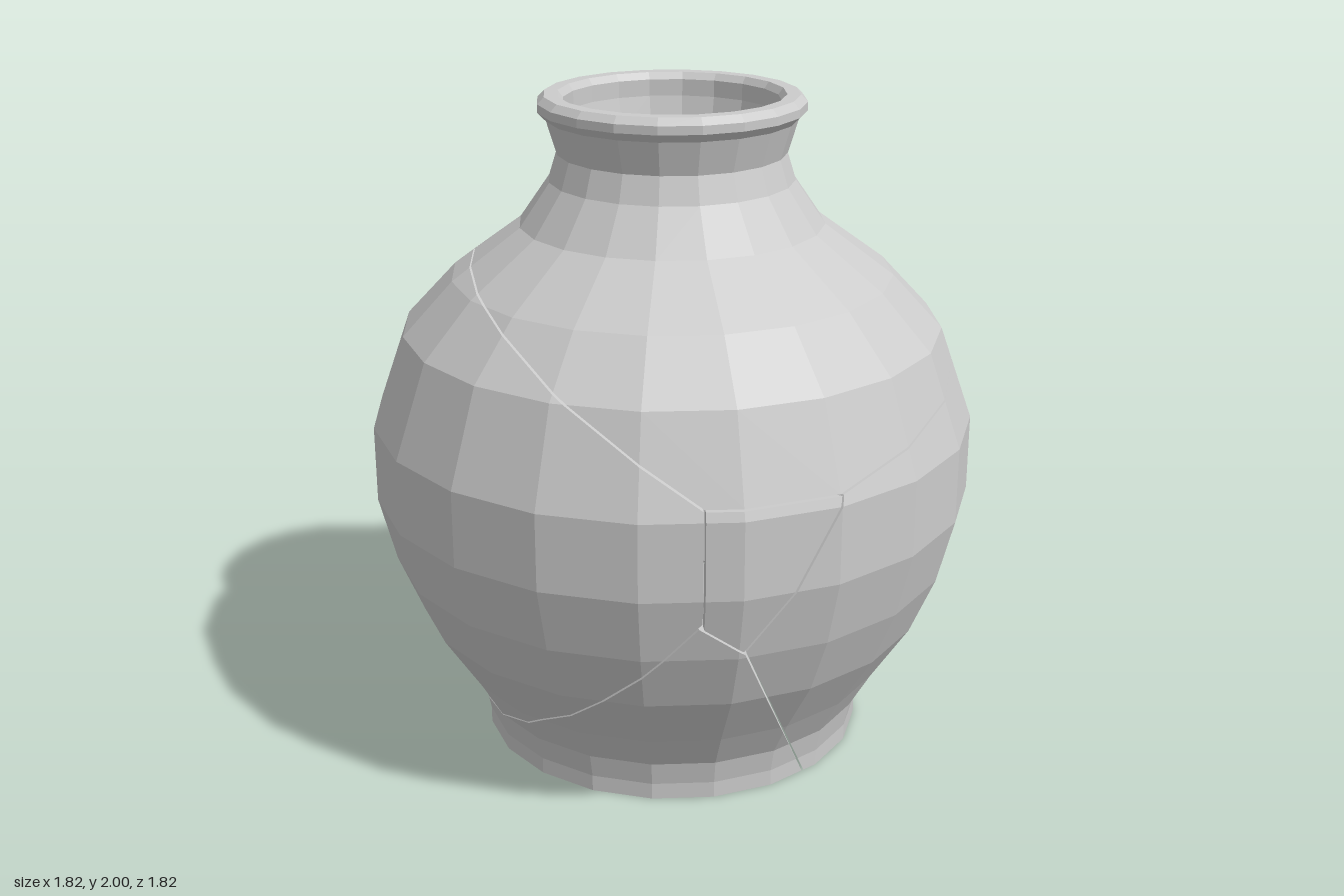
import * as THREE from 'three';

const SIDES = 20, GAP = 0.003, FLOOR = 0.05;

// Outer wall profile [radius, height] above the floor slab, and the matching inner wall
const OUTER = [
  [0.59, 0.05], [0.605, 0.125], [0.67, 0.24], [0.785, 0.42], [0.86, 0.6], [0.91, 0.8],
  [0.91, 1.03], [0.81, 1.31], [0.66, 1.47], [0.455, 1.62], [0.365, 1.75], [0.34, 1.83],
  [0.37, 1.93], [0.395, 1.955], [0.395, 1.98], [0.375, 2.0],
];
const INNER = OUTER.map(([r, y]) => [y > 1.99 ? 0.335 : y > 1.9 ? 0.32 : r - 0.04, y]);

// Fracture planes: the first shard lies where n.p > d, the second where n.p < d
const CRACKS = [
  ['neck', 'backRight', [0.588, 1, 0.334], 1.111],
  ['neck', 'backLeft', [-0.0675, 1, 0.2], 1.188],
  ['neck', 'frontLeft', [-0.224, 1, 0], 1.06],
  ['neck', 'chip', [0, 1, 0], 1.06],
  ['backRight', 'chip', [-1, 0, -0.46], 0],
  ['backRight', 'backLeft', [-1, 0, -0.2], 0.126],
  ['backRight', 'base', [-1.114, 1, -0.416], 0.8],
  ['chip', 'base', [0.69, 1, 0.2], 0.608],
  ['frontLeft', 'base', [1, 0.461, 0.364], 0.337],
  ['backLeft', 'base', [1.063, 1, -0.2], 0.742],
  ['frontLeft', 'chip', [1, -0.517, -0.45], -0.943],
  ['frontLeft', 'backLeft', [1.07, -0.89, 1], -0.209],
];

// One convex block of the wall between two profile rows, as a list of faces
function block(o0, o1, i0, i1, k, show) {
  const at = ([r, y], j) => {
    const t = (j / SIDES) * Math.PI * 2;
    return new THREE.Vector3(r * Math.sin(t), y, r * Math.cos(t));
  };
  const [a, b, c, d] = [at(o0, k), at(o0, k + 1), at(o1, k + 1), at(o1, k)];
  const [e, f, g, h] = [at(i0, k), at(i0, k + 1), at(i1, k + 1), at(i1, k)];
  return [
    { pts: [a, b, c, d], show: true },
    { pts: [f, e, h, g], show: show.inner },
    { pts: [d, c, g, h], show: show.top },
    { pts: [b, a, e, f], show: show.bottom },
    { pts: [a, d, h, e], show: false },
    { pts: [b, f, g, c], show: false },
  ];
}

function vesselBlocks() {
  const blocks = [];
  for (let k = 0; k < SIDES; k++) {
    const r = OUTER[0][0];
    blocks.push(block([r, 0], [r, FLOOR], [0, 0], [0, FLOOR], k, { top: true, bottom: true }));
    for (let i = 0; i < OUTER.length - 1; i++) {
      const top = i === OUTER.length - 2;
      blocks.push(block(OUTER[i], OUTER[i + 1], INNER[i], INNER[i + 1], k, { inner: true, top }));
    }
  }
  return blocks;
}

// Keep the part of a block where n.p <= d and close the cut with a broken face
function clip(faces, n, d) {
  const out = [], cut = [];
  for (const { pts, show } of faces) {
    const kept = [];
    pts.forEach((p, i) => {
      const q = pts[(i + 1) % pts.length];
      const sp = n.dot(p) - d, sq = n.dot(q) - d;
      if (sp <= 0) kept.push(p);
      if ((sp <= 0) !== (sq <= 0)) {
        const m = p.clone().lerp(q, sp / (sp - sq));
        kept.push(m);
        cut.push(m);
      }
    });
    if (kept.length > 2) out.push({ pts: kept, show });
  }
  if (cut.length > 2) {
    const mid = cut.reduce((s, p) => s.add(p), new THREE.Vector3()).divideScalar(cut.length);
    const u = new THREE.Vector3(n.y, n.z, n.x).cross(n).normalize();
    const v = n.clone().cross(u);
    const angle = (p) => {
      const w = p.clone().sub(mid);
      return Math.atan2(w.dot(v), w.dot(u));
    };
    out.push({ pts: cut.sort((p, q) => angle(p) - angle(q)), show: true });
  }
  return out;
}

// Clip every block to one shard and gather its visible faces
function shardGeometry(name, blocks) {
  const planes = CRACKS.filter((c) => c[0] === name || c[1] === name).map(([first, , dir, d]) => {
    const n = new THREE.Vector3(...dir), len = n.length(), s = first === name ? -1 : 1;
    return { n: n.multiplyScalar(s / len), d: (s * d) / len - GAP };
  });
  const pos = [], tri = new THREE.Triangle();
  for (const start of blocks) {
    let faces = start;
    for (const { n, d } of planes) faces = clip(faces, n, d);
    for (const { pts, show } of faces) {
      if (!show) continue;
      for (let i = 1; i < pts.length - 1; i++) {
        tri.set(pts[0], pts[i], pts[i + 1]);
        if (tri.getArea() < 1e-9) continue;
        for (const p of [tri.a, tri.b, tri.c]) pos.push(p.x, p.y, p.z);
      }
    }
  }
  const geo = new THREE.BufferGeometry();
  geo.setAttribute('position', new THREE.Float32BufferAttribute(pos, 3));
  geo.computeVertexNormals();
  return geo;
}

export function createModel() {
  const group = new THREE.Group();
  group.name = 'crackedVase';
  const material = new THREE.MeshStandardMaterial({ color: 0xcccccc, flatShading: true });
  const blocks = vesselBlocks();
  for (const name of ['neck', 'backRight', 'backLeft', 'frontLeft', 'chip', 'base']) {
    const mesh = new THREE.Mesh(shardGeometry(name, blocks), material);
    mesh.name = name + 'Shard';
    group.add(mesh);
  }
  return group;
}
